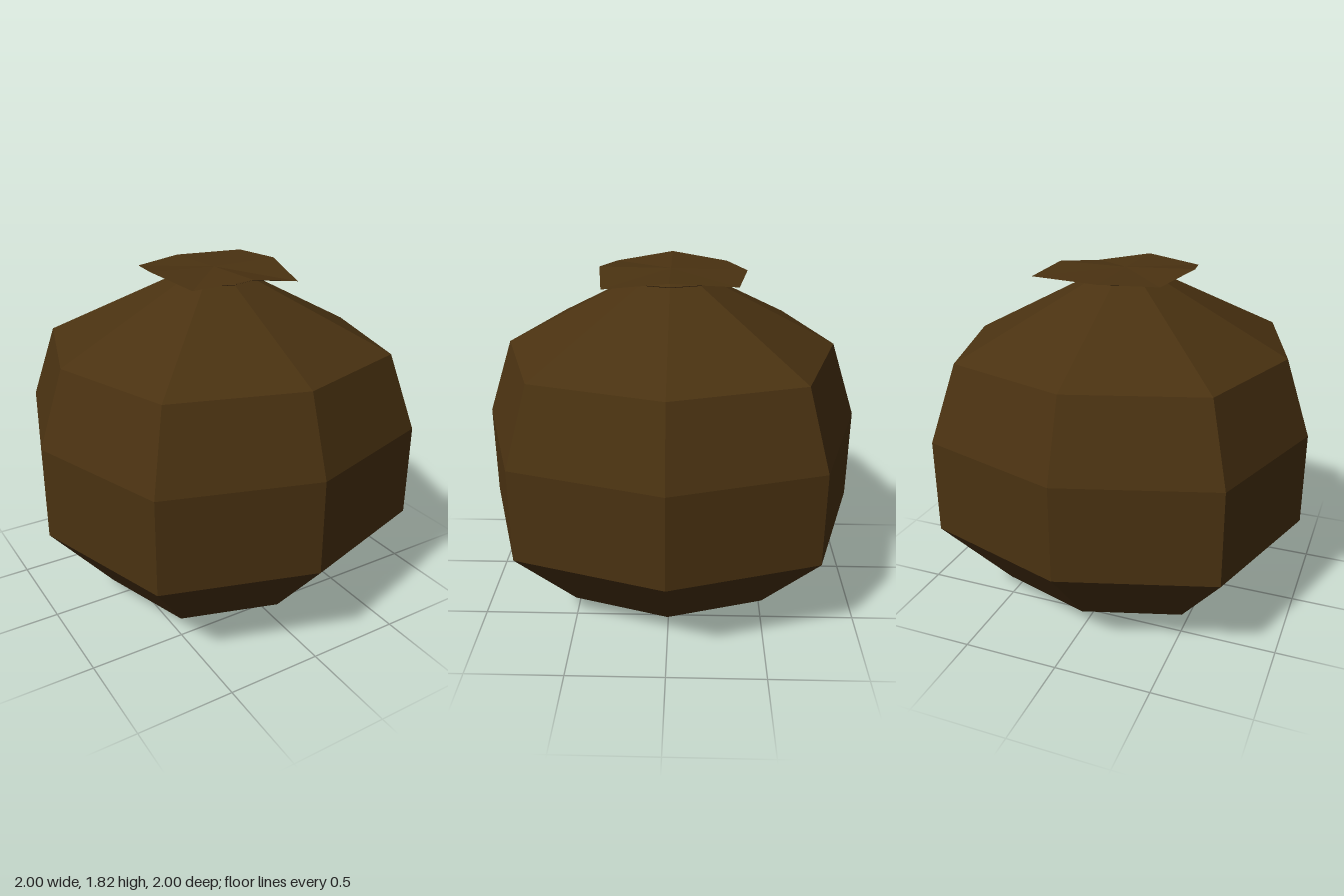
import * as THREE from 'three';

const SIDES = 8;

// Squarish eight-sided ring: points on the axes at r, corners pushed out to 0.76 r
function ring(r, y) {
  const pts = [];
  for (let i = 0; i < SIDES; i++) {
    const a = (i * Math.PI) / 4;
    const s = i % 2 ? r * 0.76 * Math.SQRT2 : r;
    pts.push([Math.sin(a) * s, y, Math.cos(a) * s]);
  }
  return pts;
}

// Joins rings from bottom to top with outward-facing quads
function loft(rings) {
  const pos = rings.flat(2);
  const index = [];
  for (let k = 0; k < rings.length - 1; k++) {
    for (let i = 0; i < SIDES; i++) {
      const a = k * SIDES + i;
      const b = k * SIDES + ((i + 1) % SIDES);
      index.push(a, b, b + SIDES, a, b + SIDES, a + SIDES);
    }
  }
  const geo = new THREE.BufferGeometry();
  geo.setAttribute('position', new THREE.Float32BufferAttribute(pos, 3));
  geo.setIndex(index);
  geo.computeVertexNormals();
  return geo;
}

export function createModel() {
  const group = new THREE.Group();
  group.name = 'sack';
  const cloth = new THREE.MeshStandardMaterial({
    color: 0x4a3211, flatShading: true, side: THREE.DoubleSide,
  });
  cloth.name = 'dark brown cloth';

  const add = (name, rings) => {
    const mesh = new THREE.Mesh(loft(rings), cloth);
    mesh.name = name;
    group.add(mesh);
  };

  // Bulging body with a shallow pointed base
  const profile = [[0, 0], [0.66, 0.105], [1, 0.505], [1, 1], [0.866, 1.4], [0.2, 1.745]];
  add('body', profile.map(([r, y]) => ring(r, y)));

  // Tie around the gathered neck
  add('neckTie', [ring(0.2, 1.742), ring(0.22, 1.75), ring(0.18, 1.768)]);

  // Uneven ruffled mouth, flaring from the neck and closed on top
  const rim = [
    [0, 1.805, 0.37], [0.29, 1.755, 0.335], [0.375, 1.805, 0], [0.375, 1.79, -0.335],
    [0, 1.79, -0.395], [-0.285, 1.78, -0.3], [-0.37, 1.815, 0], [-0.3, 1.775, 0.305],
  ];
  add('mouth', [ring(0.18, 1.765), rim, ring(0, 1.8)]);

  return group;
}
